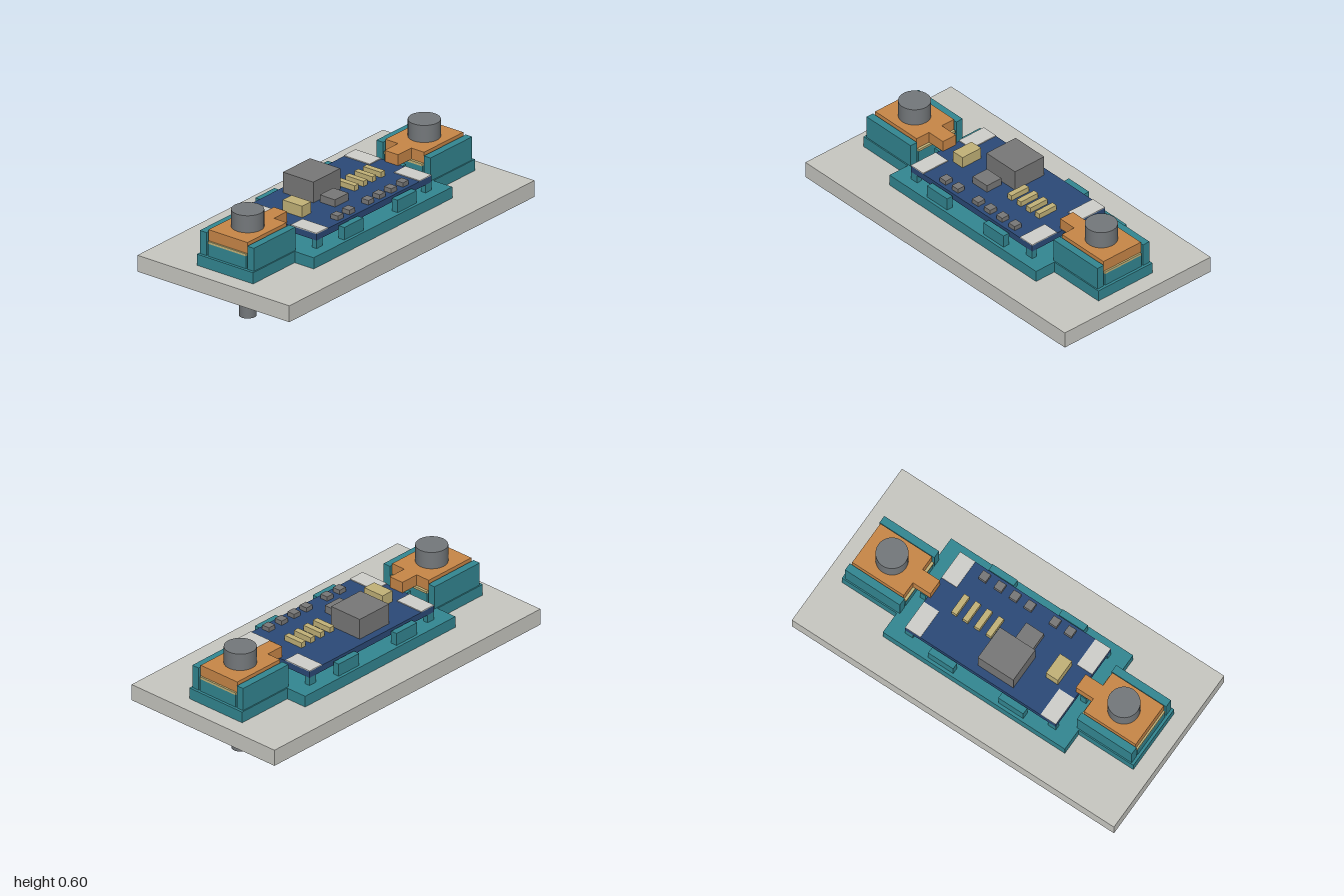
import * as THREE from 'three';

const mat = (name, color) => {
  const m = new THREE.MeshStandardMaterial({ color });
  m.name = name;
  return m;
};

export function createModel() {
  const root = new THREE.Group();
  root.name = 'clampedCircuitBoard';

  const plateGrey = mat('plateGrey', 0xc8c8c2);
  const teal = mat('teal', 0x338792);
  const orange = mat('orange', 0xc98748);
  const navy = mat('navy', 0x2b4a78);
  const gold = mat('gold', 0xc3b378);
  const steel = mat('steel', 0x74787b);
  const chipGrey = mat('chipGrey', 0x787878);
  const padWhite = mat('padWhite', 0xd0d0cc);

  const add = (parent, name, geometry, material) => {
    const mesh = new THREE.Mesh(geometry, material);
    mesh.name = name;
    parent.add(mesh);
    return mesh;
  };
  // Box given by its limits on each axis
  const box = (parent, name, material, x0, x1, y0, y1, z0, z1) => {
    const g = new THREE.BoxGeometry(x1 - x0, y1 - y0, z1 - z0);
    g.translate((x0 + x1) / 2, (y0 + y1) / 2, (z0 + z1) / 2);
    return add(parent, name, g, material);
  };
  const cylinder = (parent, name, material, r, y0, y1, z, sides) => {
    let g = new THREE.CylinderGeometry(r, r, y1 - y0, sides);
    if (sides < 12) {
      g = g.toNonIndexed();
      g.computeVertexNormals();
    }
    g.translate(0, (y0 + y1) / 2, z);
    return add(parent, name, g, material);
  };
  // Flat outline in x and z, raised between two heights
  const slab = (parent, name, material, points, y0, y1) => {
    const shape = new THREE.Shape(points.map(([x, z]) => new THREE.Vector2(x, -z)));
    const g = new THREE.ExtrudeGeometry(shape, { depth: y1 - y0, bevelEnabled: false });
    g.rotateX(-Math.PI / 2);
    g.translate(0, y0, 0);
    return add(parent, name, g, material);
  };

  // Mounting plate and cross-shaped carrier
  box(root, 'mountingPlate', plateGrey, -0.5, 0.5, 0.2, 0.292, -1, 1);
  slab(root, 'carrierBase', teal, [
    [-0.185, 0.905], [0.185, 0.905], [0.185, 0.565], [0.31, 0.565],
    [0.31, -0.565], [0.185, -0.565], [0.185, -0.905], [-0.185, -0.905],
    [-0.185, -0.565], [-0.31, -0.565], [-0.31, 0.565], [-0.185, 0.565],
  ], 0.292, 0.355);

  // Circuit board
  box(root, 'circuitBoard', navy, -0.25, 0.25, 0.4, 0.436, -0.468, 0.468);

  // Identical clamp assembly at each end
  for (const side of [1, -1]) {
    const end = new THREE.Group();
    end.name = side > 0 ? 'frontClamp' : 'backClamp';
    if (side < 0) end.rotation.y = Math.PI;
    root.add(end);

    box(end, 'clampBlock', teal, -0.125, 0.125, 0.355, 0.425, 0.55, 0.89);
    box(end, 'spacer', gold, -0.125, 0.125, 0.425, 0.438, 0.545, 0.89);
    box(end, 'boardStop', teal, -0.045, 0.045, 0.355, 0.425, 0.48, 0.515);
    slab(end, 'clampBar', orange, [
      [-0.128, 0.88], [0.128, 0.88], [0.128, 0.56], [0.044, 0.56],
      [0.044, 0.452], [-0.044, 0.452], [-0.044, 0.56], [-0.128, 0.56],
    ], 0.438, 0.5);

    for (const s of [1, -1]) {
      const pair = (name, material, x0, x1, ...rest) =>
        box(end, name, material, Math.min(s * x0, s * x1), Math.max(s * x0, s * x1), ...rest);
      pair('sideWall', teal, 0.135, 0.178, 0.355, 0.485, 0.55, 0.89);
      pair('cornerSupport', teal, 0.22, 0.25, 0.355, 0.4, 0.42, 0.468);
      pair('sideClip', teal, 0.256, 0.293, 0.355, 0.425, 0.14, 0.295);
      pair('cornerPad', padWhite, 0.08, 0.25, 0.436, 0.441, 0.373, 0.468);
    }

    // Bolt with hexagonal nut under the plate
    cylinder(end, 'boltHead', steel, 0.085, 0.5, 0.596, 0.72, 40);
    cylinder(end, 'boltShaft', steel, 0.046, 0, 0.5, 0.72, 32);
    cylinder(end, 'hexNut', steel, 0.098, 0.124, 0.2, 0.72, 6);
  }

  // Electronic components
  const parts = new THREE.Group();
  parts.name = 'components';
  root.add(parts);
  box(parts, 'largeChip', chipGrey, -0.208, -0.008, 0.436, 0.552, -0.045, 0.175);
  box(parts, 'smallChip', chipGrey, 0.012, 0.112, 0.436, 0.477, 0.037, 0.147);
  box(parts, 'capacitor', gold, -0.065, 0.063, 0.436, 0.5, 0.28, 0.354);
  for (const z of [-0.3, -0.23, -0.158, -0.086]) {
    box(parts, 'goldResistor', gold, -0.052, 0.066, 0.436, 0.466, z - 0.016, z + 0.016);
  }
  for (const z of [-0.286, -0.19, -0.096, -0.004, 0.152, 0.246]) {
    box(parts, 'greyResistor', chipGrey, 0.182, 0.229, 0.436, 0.461, z - 0.023, z + 0.023);
  }
  return root;
}
